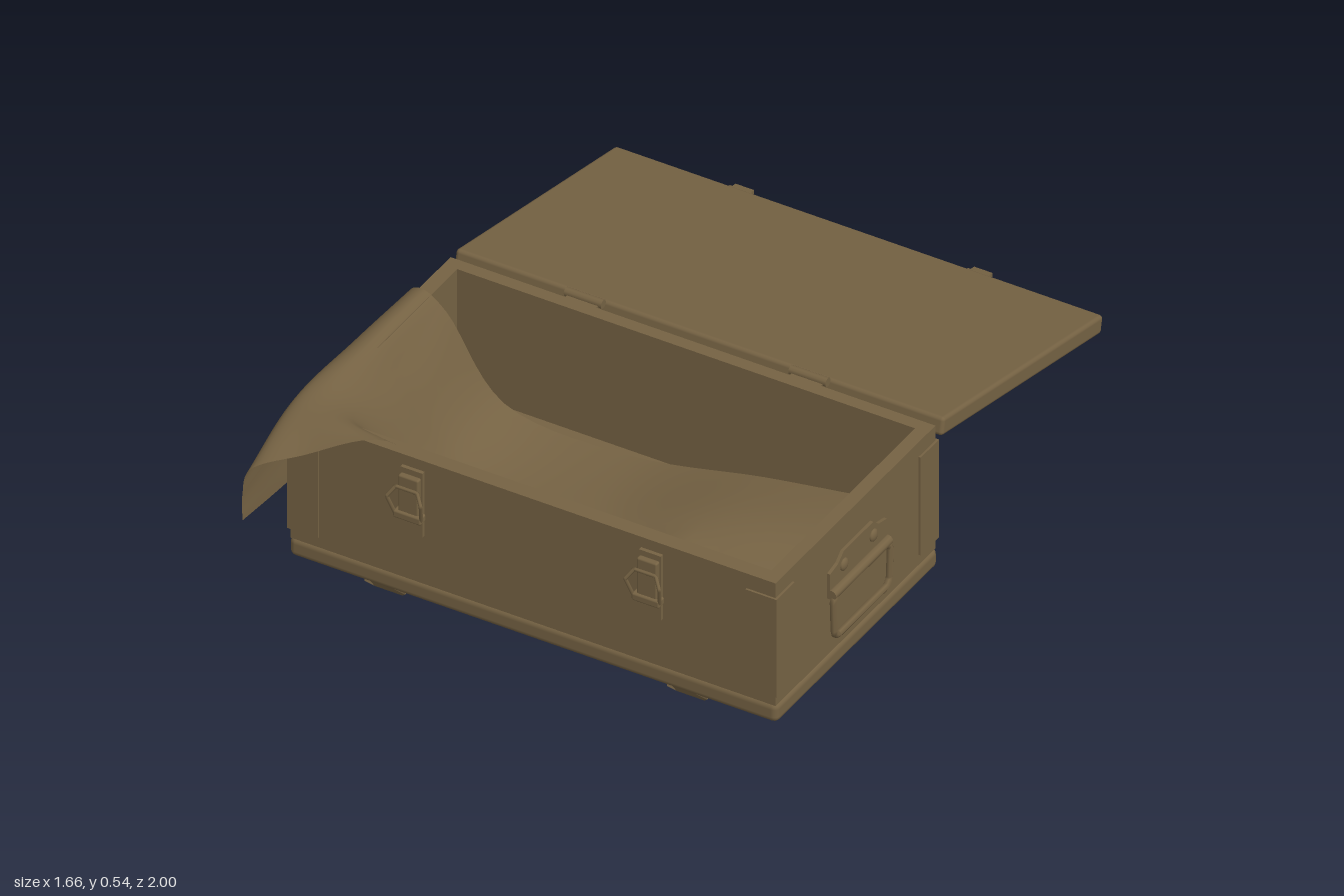
import * as THREE from 'three';
import { RoundedBoxGeometry } from 'three/addons/geometries/RoundedBoxGeometry.js';

const metalPaint = new THREE.MeshStandardMaterial({ color: 0x756243, side: THREE.DoubleSide });
metalPaint.name = 'olive brown';

function add(parent, name, geometry, x = 0, y = 0, z = 0) {
  const mesh = new THREE.Mesh(geometry, metalPaint);
  mesh.name = name;
  mesh.position.set(x, y, z);
  parent.add(mesh);
  return mesh;
}

// Box given by its low and high limits on each axis
function block(parent, name, x0, x1, y0, y1, z0, z1, radius = 0) {
  const size = [x1 - x0, y1 - y0, z1 - z0];
  const geo = radius ? new RoundedBoxGeometry(...size, 2, radius) : new THREE.BoxGeometry(...size);
  return add(parent, name, geo, (x0 + x1) / 2, (y0 + y1) / 2, (z0 + z1) / 2);
}

function polygon(points) {
  return new THREE.Shape(points.map(p => new THREE.Vector2(...p)));
}

// Closed wire through corner points, as one bent rod
function wire(points, radius) {
  const path = new THREE.CurvePath();
  const v = points.map(p => new THREE.Vector3(...p));
  v.forEach((p, i) => path.add(new THREE.LineCurve3(p, v[(i + 1) % v.length])));
  return new THREE.TubeGeometry(path, 64, radius, 6, true);
}

// Wooden runner with chamfered ends and sides, flat face down
function runner(parent, name, x, y0, y1, z0, z1) {
  const h = y1 - y0, w = 0.065;
  const shape = polygon([[-w, h], [-w, h * 0.5], [-w + 0.02, 0], [w - 0.02, 0], [w, h * 0.5], [w, h]]);
  const geo = new THREE.ExtrudeGeometry(shape, { depth: z1 - z0, bevelEnabled: false });
  const p = geo.attributes.position;
  for (let i = 0; i < p.count; i++) {
    if (p.getY(i) < h * 0.25) p.setZ(i, p.getZ(i) < 0.01 ? 0.02 : z1 - z0 - 0.02);
  }
  geo.computeVertexNormals();
  add(parent, name, geo, x, y0, z0);
}

function buildBody() {
  const body = new THREE.Group();
  body.name = 'body';
  // Open frame of walls
  const frame = polygon([[-0.775, -0.805], [0.79, -0.805], [0.79, 0.065], [-0.775, 0.065]]);
  frame.holes.push(polygon([[-0.73, -0.757], [-0.73, 0.025], [0.748, 0.025], [0.748, -0.757]]));
  const walls = new THREE.ExtrudeGeometry(frame, { depth: 0.42, bevelEnabled: false });
  walls.rotateX(-Math.PI / 2);
  add(body, 'walls', walls, 0, 0.095, 0);
  block(body, 'base', -0.78, 0.797, 0.035, 0.1, -0.07, 0.81, 0.02);
  for (const x of [-0.48, 0.495]) runner(body, 'bottomRunner', x, 0, 0.045, -0.04, 0.79);

  // Corner brackets, wrapped around each vertical edge
  for (const sx of [-1, 1]) for (const sz of [-1, 1]) {
    const x = sx > 0 ? 0.797 : -0.783, z = sz > 0 ? 0.812 : -0.073;
    const range = (a, b) => [Math.min(a, b), Math.max(a, b)];
    block(body, 'cornerBracket', ...range(x, x - sx * 0.1), 0.13, 0.465, ...range(z, z - sz * 0.008));
    block(body, 'cornerBracket', ...range(x, x - sx * 0.008), 0.13, 0.465, ...range(z, z - sz * 0.1));
  }
  return body;
}

function buildLatch(x) {
  const latch = new THREE.Group();
  latch.name = 'latch';
  latch.position.set(x, 0, 0.805);
  block(latch, 'latchPlate', -0.035, 0.035, 0.26, 0.48, 0, 0.012);
  block(latch, 'latchLever', -0.033, 0.033, 0.34, 0.465, 0.012, 0.032, 0.006);
  block(latch, 'latchBase', -0.045, 0.045, 0.32, 0.345, 0.008, 0.04, 0.006);
  add(latch, 'latchLoop', wire([[-0.042, 0.33, 0.03], [0.042, 0.33, 0.03], [0.055, 0.4, 0.055],
    [0.035, 0.43, 0.04], [-0.035, 0.43, 0.04], [-0.055, 0.4, 0.055]], 0.006));
  return latch;
}

function buildHandle() {
  const handle = new THREE.Group();
  handle.name = 'handle';
  // Shaped mounting plate
  const plate = polygon([[-0.155, 0.29], [0.155, 0.29], [0.155, 0.375], [0.11, 0.385], [0.08, 0.41],
    [-0.08, 0.41], [-0.11, 0.385], [-0.155, 0.375]]);
  const geo = new THREE.ExtrudeGeometry(plate, { depth: 0.01, bevelEnabled: false });
  geo.rotateY(Math.PI / 2);
  add(handle, 'handlePlate', geo);
  for (const z of [-0.08, 0.08]) {
    const rivet = new THREE.SphereGeometry(0.02, 12, 8);
    rivet.scale(0.5, 1, 1);
    add(handle, 'rivet', rivet, 0.01, 0.365, z);
  }
  const pin = new THREE.CylinderGeometry(0.016, 0.016, 0.31, 10);
  pin.rotateX(Math.PI / 2);
  add(handle, 'hingeRoll', pin, 0.014, 0.305, 0);
  // Swinging grip
  add(handle, 'grip', wire([[0.018, 0.3, -0.14], [0.02, 0.28, -0.155], [0.02, 0.175, -0.15], [0.02, 0.16, -0.135],
    [0.02, 0.16, 0.135], [0.02, 0.175, 0.15], [0.02, 0.28, 0.155], [0.018, 0.3, 0.14]], 0.011));
  return handle;
}

function buildLid() {
  const lid = new THREE.Group();
  lid.name = 'lid';
  lid.position.set(0, 0.52, -0.1);
  lid.rotation.x = -0.21;
  block(lid, 'lidPanel', -0.78, 0.797, -0.058, 0, -0.89, 0, 0.012);
  for (const x of [-0.48, 0.495]) runner(lid, 'lidRunner', x, -0.078, -0.055, -0.87, -0.02);
  for (const x of [-0.378, 0.392]) {
    block(lid, 'latchCatch', x - 0.037, x + 0.037, -0.035, -0.005, -0.897, -0.885);
    block(lid, 'catchHook', x - 0.03, x + 0.03, -0.018, -0.006, -0.918, -0.89);
  }
  return lid;
}

function buildHinge(x) {
  const hinge = new THREE.Group();
  hinge.name = 'hinge';
  hinge.position.x = x;
  const roll = new THREE.CylinderGeometry(0.014, 0.014, 0.12, 10);
  roll.rotateZ(Math.PI / 2);
  add(hinge, 'hingeRoll', roll, 0, 0.517, -0.087);
  block(hinge, 'hingePlate', -0.05, 0.05, 0.4, 0.515, -0.08, -0.064);
  return hinge;
}

// Cloth draped over one end wall: each row runs back to front, rows run from hem to inside
function buildCloth() {
  const rows = [
    [[-0.82, 0.18, 0.1], [-0.835, 0.2, 0.4], [-0.83, 0.22, 0.75], [-0.815, 0.26, 1.0]],
    [[-0.82, 0.38, 0.1], [-0.835, 0.38, 0.4], [-0.83, 0.38, 0.73], [-0.815, 0.35, 1.0]],
    [[-0.8, 0.505, 0.11], [-0.81, 0.505, 0.4], [-0.805, 0.515, 0.74], [-0.8, 0.43, 0.99]],
    [[-0.75, 0.527, 0.12], [-0.75, 0.527, 0.4], [-0.74, 0.528, 0.77], [-0.68, 0.475, 0.91]],
    [[-0.69, 0.46, 0.1], [-0.66, 0.42, 0.4], [-0.62, 0.51, 0.73], [-0.47, 0.528, 0.79]],
    [[-0.52, 0.19, 0.07], [-0.48, 0.18, 0.4], [-0.42, 0.24, 0.66], [-0.3, 0.32, 0.7]],
    [[-0.15, 0.12, 0.02], [-0.1, 0.13, 0.3], [-0.05, 0.12, 0.58], [-0.02, 0.15, 0.735]],
    [[0.28, 0.19, 0], [0.25, 0.2, 0.3], [0.27, 0.13, 0.55], [0.3, 0.12, 0.69]],
    [[0.58, 0.24, 0], [0.6, 0.22, 0.23], [0.62, 0.13, 0.48], [0.63, 0.11, 0.69]],
  ];
  const curves = rows.map(r => new THREE.CatmullRomCurve3(r.map(p => new THREE.Vector3(...p))));
  const NU = 56, NV = 32;
  const geo = new THREE.PlaneGeometry(1, 1, NU, NV);
  const pos = geo.attributes.position;
  for (let j = 0, k = 0; j <= NV; j++) {
    const across = new THREE.CatmullRomCurve3(curves.map(c => c.getPoint(j / NV)));
    for (let i = 0; i <= NU; i++, k++) {
      const p = across.getPoint(i / NU);
      // Diagonal crease inside the box
      const off = Math.abs((p.x - 0.3) - 0.6 * (p.z - 0.52));
      const reach = Math.max(0, 1 - Math.abs(p.z - 0.52) / 0.2);
      p.y += 0.045 * reach * Math.max(0, 1 - off / 0.06);
      pos.setXYZ(k, p.x, p.y, p.z);
    }
  }
  geo.computeVertexNormals();
  const cloth = new THREE.Mesh(geo, metalPaint);
  cloth.name = 'cloth';
  return cloth;
}

export function createModel() {
  const crate = new THREE.Group();
  crate.name = 'crate';
  crate.add(buildBody(), buildLid(), buildCloth());
  for (const x of [-0.378, 0.392]) crate.add(buildLatch(x));
  for (const x of [-0.355, 0.37]) crate.add(buildHinge(x));
  for (const side of [-1, 1]) {
    const handle = buildHandle();
    handle.position.set(side > 0 ? 0.79 : -0.775, 0, 0.37);
    if (side < 0) handle.rotation.y = Math.PI;
    crate.add(handle);
  }
  return crate;
}
